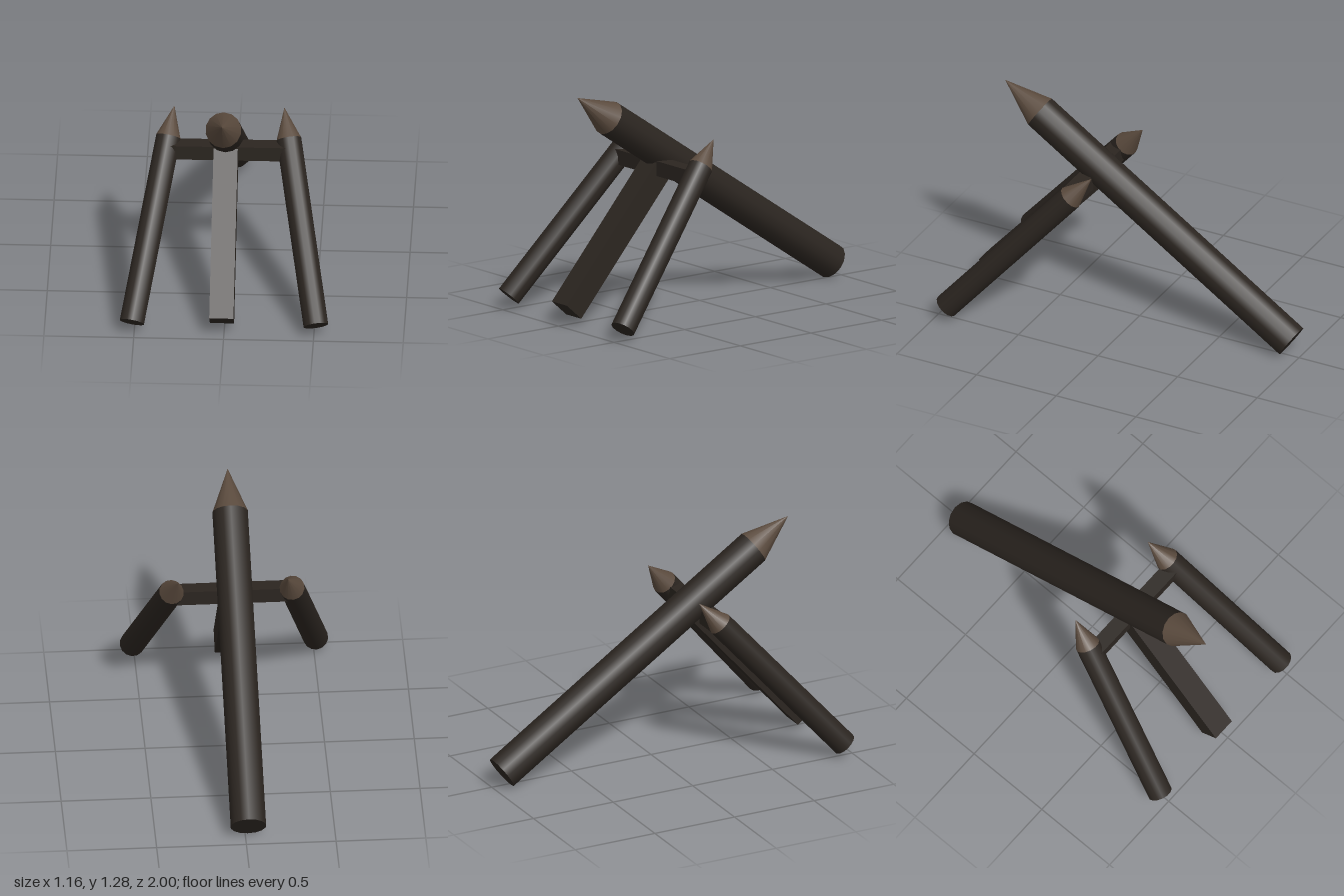
import * as THREE from 'three';

const bark = new THREE.MeshStandardMaterial({ color: 0x2b2520 });
const cutWood = new THREE.MeshStandardMaterial({ color: 0x5a4a3d });
const SIDES = 14;

// Sharpened log: a cylinder from base to shoulder, then a cone to the point
function sharpenedLog(name, base, tip, radius, pointLength) {
  const axis = tip.clone().sub(base);
  const shaftLength = axis.length() - pointLength;
  const group = new THREE.Group();
  group.name = name;

  const shaft = new THREE.Mesh(new THREE.CylinderGeometry(radius, radius, shaftLength, SIDES), bark);
  shaft.name = name + 'Shaft';
  shaft.position.y = shaftLength / 2;

  const point = new THREE.Mesh(new THREE.ConeGeometry(radius, pointLength, SIDES), cutWood);
  point.name = name + 'Point';
  point.position.y = shaftLength + pointLength / 2;

  group.add(shaft, point);
  group.position.copy(base);
  group.quaternion.setFromUnitVectors(new THREE.Vector3(0, 1, 0), axis.normalize());
  return group;
}

export function createModel() {
  const model = new THREE.Group();
  model.name = 'spikedBarricade';
  const v = (x, y, z) => new THREE.Vector3(x, y, z);

  // Large leaning log
  model.add(sharpenedLog('mainLog', v(-0.015, 0.084, -0.944), v(-0.015, 1.28, 0.853), 0.1, 0.263));

  // Pair of side stakes leaning back and inward
  for (const [name, s] of [['leftStake', 1], ['rightStake', -1]]) {
    model.add(sharpenedLog(name, v(s * 0.512, 0.07, 0.947), v(s * 0.306, 1.0, 0.142), 0.07, 0.18));
  }

  // Crossbar joining the stakes
  const crossbar = new THREE.Mesh(new THREE.BoxGeometry(0.64, 0.085, 0.088), bark);
  crossbar.name = 'crossbar';
  crossbar.position.set(0, 0.816, 0.305);
  model.add(crossbar);

  // Square prop under the main log
  const foot = v(-0.013, 0.08, 0.932), head = v(-0.013, 0.86, 0.25);
  const prop = new THREE.Mesh(new THREE.BoxGeometry(0.135, foot.distanceTo(head), 0.135), bark);
  prop.name = 'centreProp';
  prop.position.copy(foot).lerp(head, 0.5);
  prop.rotation.x = Math.atan2(head.z - foot.z, head.y - foot.y);
  model.add(prop);

  return model;
}
